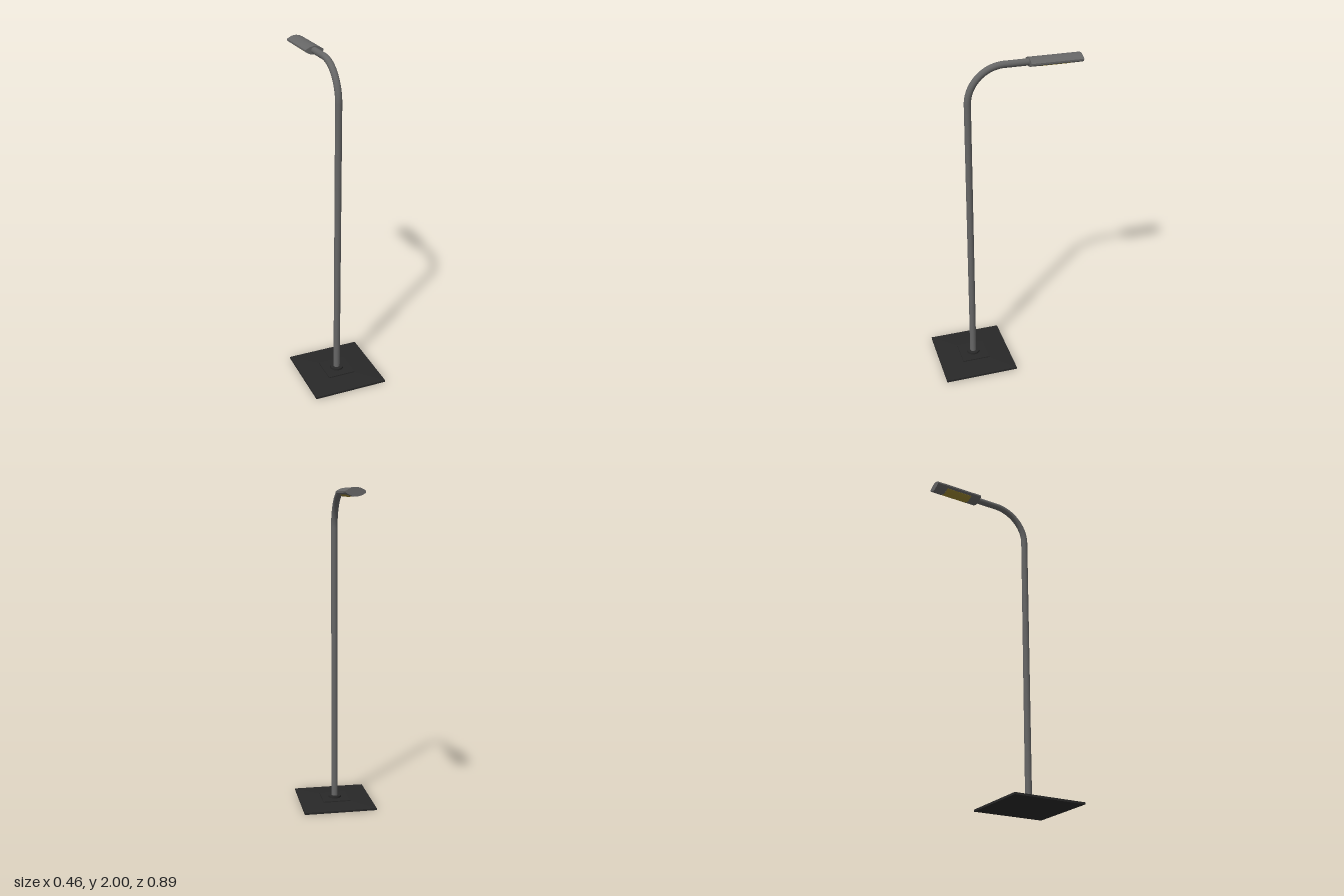
import * as THREE from 'three';

const POLE_Z = 0.215, ARM_Y = 1.975, BEND = 0.215, R = 0.02;
const HEAD_Y = 1.975, HEAD_W = 0.055, RIM = 0.005, HEAD_H = 0.025;

export function createModel() {
  const group = new THREE.Group();
  group.name = 'streetLamp';
  const metal = new THREE.MeshStandardMaterial({ color: 0x666666 });
  const dark = new THREE.MeshStandardMaterial({ color: 0x282828 });
  const darkFlat = new THREE.MeshStandardMaterial({ color: 0x282828, flatShading: true });
  const glow = new THREE.MeshStandardMaterial({ color: 0x9a8530 });

  const add = (name, geometry, material, x, y, z) => {
    const mesh = new THREE.Mesh(geometry, material);
    mesh.name = name;
    mesh.position.set(x, y, z);
    group.add(mesh);
    return mesh;
  };
  // Square frustum given by half widths
  const frustum = (top, bottom, h) =>
    new THREE.CylinderGeometry(top * Math.SQRT2, bottom * Math.SQRT2, h, 4).rotateY(Math.PI / 4);

  // Stepped base: slab, shallow slope, mounting plate and collar
  add('baseSlab', new THREE.BoxGeometry(0.46, 0.012, 0.46), dark, 0, 0.006, POLE_Z);
  add('baseSlope', frustum(0.087, 0.23, 0.006), darkFlat, 0, 0.015, POLE_Z);
  add('mountingPlate', new THREE.BoxGeometry(0.174, 0.012, 0.174), dark, 0, 0.018, POLE_Z);
  add('collar', new THREE.CylinderGeometry(0.041, 0.041, 0.016, 32), dark, 0, 0.028, POLE_Z);

  // Pole, quarter bend and horizontal arm
  const bendY = ARM_Y - BEND;
  const armEnd = -0.16;
  add('pole', new THREE.CylinderGeometry(R, R, bendY - 0.02, 24, 1, true), metal, 0, (bendY + 0.02) / 2, POLE_Z);
  add('bend', new THREE.TorusGeometry(BEND, R, 24, 32, Math.PI / 2).rotateY(-Math.PI / 2), metal, 0, bendY, 0);
  add('arm', new THREE.CylinderGeometry(R, R, -armEnd, 24).rotateX(Math.PI / 2), metal, 0, ARM_Y, armEnd / 2);

  // Lens-shaped lamp head with a narrow rim
  const section = new THREE.Shape();
  section.moveTo(HEAD_W, -RIM);
  section.lineTo(HEAD_W, RIM);
  section.quadraticCurveTo(0, 2 * HEAD_H - RIM, -HEAD_W, RIM);
  section.lineTo(-HEAD_W, -RIM);
  section.quadraticCurveTo(0, RIM - 2 * HEAD_H, HEAD_W, -RIM);
  add('lampHead', new THREE.ExtrudeGeometry(section, { depth: 0.308, bevelEnabled: false, curveSegments: 20 }),
    metal, 0, HEAD_Y, -0.448);

  // Light panel following the curved underside
  const under = (x) => -RIM - (HEAD_H - RIM) * (1 - (x / HEAD_W) ** 2);
  const panel = new THREE.Shape();
  const half = 0.042, steps = 12;
  panel.moveTo(half, under(half) + 0.002);
  panel.lineTo(-half, under(half) + 0.002);
  for (let i = 0; i <= steps; i++) {
    const x = -half + (2 * half * i) / steps;
    panel.lineTo(x, under(x) - 0.001);
  }
  add('lightPanel', new THREE.ExtrudeGeometry(panel, { depth: 0.17, bevelEnabled: false }),
    glow, 0, HEAD_Y, -0.375);

  return group;
}
